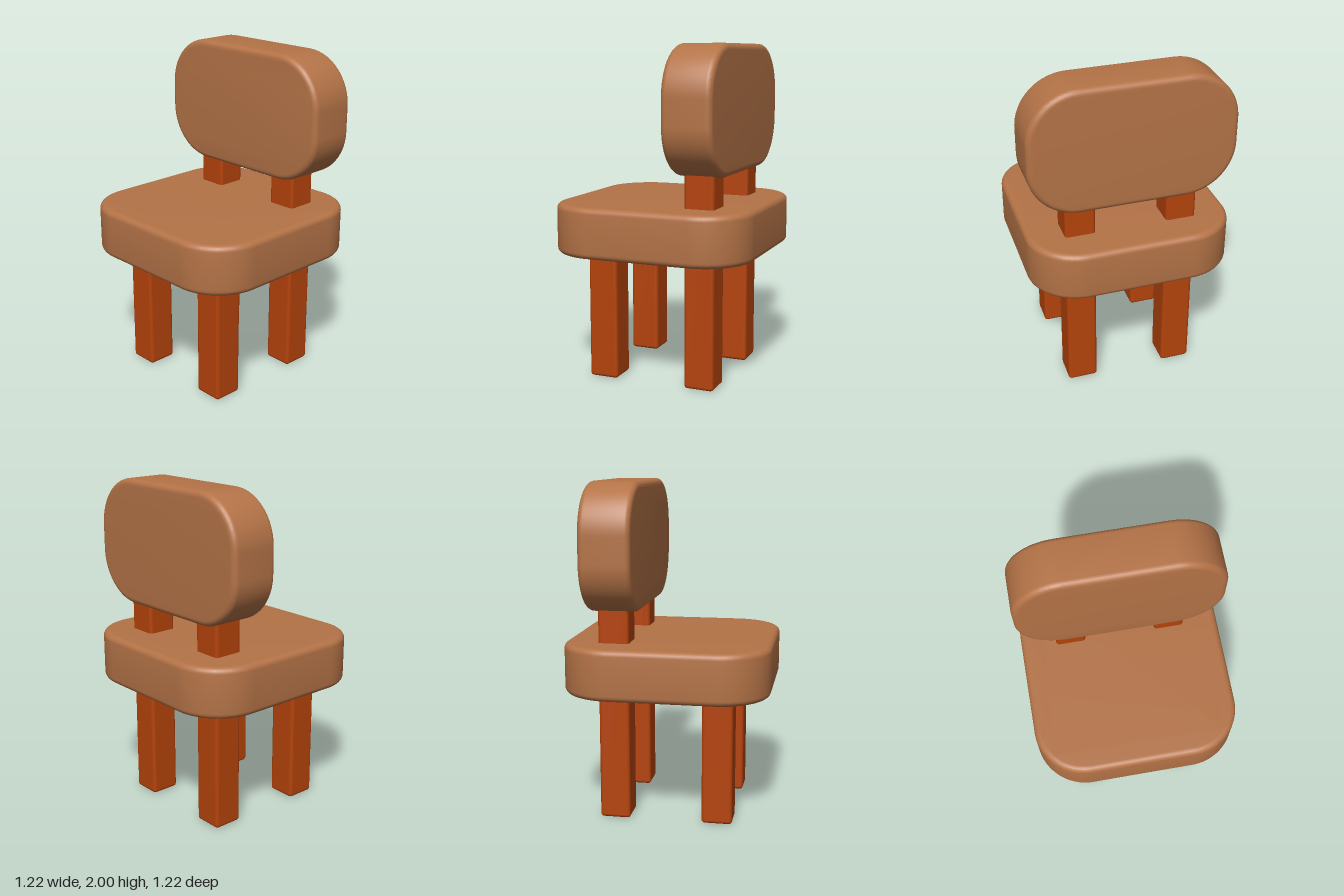
import * as THREE from 'three';
import { toCreasedNormals } from 'three/addons/utils/BufferGeometryUtils.js';
import { RoundedBoxGeometry } from 'three/addons/geometries/RoundedBoxGeometry.js';

const CORNER = 0.3, EDGE = 0.035;

// Thick slab with round corners and softened edges, centred, facing +z
function cushionGeometry(width, height, depth) {
  const x = width / 2 - CORNER, y = height / 2 - CORNER, r = CORNER - EDGE;
  const shape = new THREE.Shape();
  shape.absarc(x, y, r, 0, Math.PI / 2);
  shape.absarc(-x, y, r, Math.PI / 2, Math.PI);
  shape.absarc(-x, -y, r, Math.PI, Math.PI * 1.5);
  shape.absarc(x, -y, r, Math.PI * 1.5, Math.PI * 2);
  shape.closePath();
  const geometry = new THREE.ExtrudeGeometry(shape, {
    depth: depth - 2 * EDGE,
    bevelEnabled: true,
    bevelThickness: EDGE,
    bevelSize: EDGE,
    bevelSegments: 6,
    curveSegments: 14,
  });
  geometry.translate(0, 0, EDGE - depth / 2);
  return toCreasedNormals(geometry, 0.5);
}

export function createModel() {
  const model = new THREE.Group();
  model.name = 'chair';
  const lightWood = new THREE.MeshStandardMaterial({ color: 0xb47347 });
  lightWood.name = 'light wood';
  const redWood = new THREE.MeshStandardMaterial({ color: 0xb5430b });
  redWood.name = 'red wood';

  const add = (name, geometry, material, x, y, z) => {
    const mesh = new THREE.Mesh(geometry, material);
    mesh.name = name;
    mesh.position.set(x, y, z);
    model.add(mesh);
    return mesh;
  };

  // Seat lies flat, backrest stands upright
  const seat = add('seat', cushionGeometry(1.22, 1.22, 0.3), lightWood, 0, 0.92, 0);
  seat.rotation.x = -Math.PI / 2;
  add('backrest', cushionGeometry(1.22, 0.75, 0.3), lightWood, 0, 1.625, -0.305);

  // Short front legs, and rear posts that run through the seat into the backrest
  for (const [side, x] of [['left', 0.305], ['right', -0.305]]) {
    for (const [name, height, z] of [['FrontLeg', 0.85, 0.308], ['RearPost', 1.4, -0.305]]) {
      const geometry = new RoundedBoxGeometry(0.182, height, 0.182, 3, 0.02);
      add(side + name, geometry, redWood, x, height / 2, z);
    }
  }
  return model;
}
